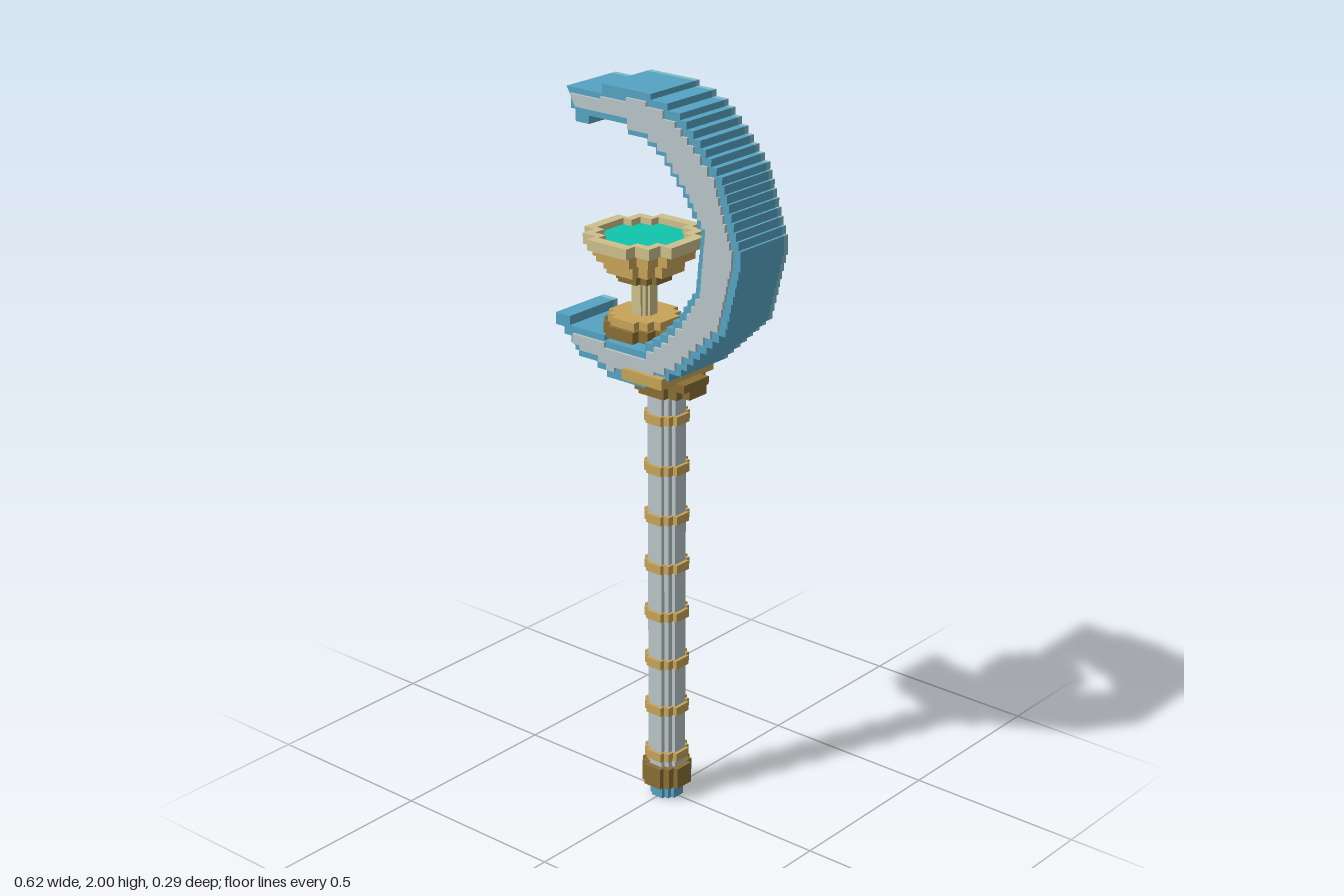
import * as THREE from 'three';

const mat = (name, color, side = THREE.FrontSide) => {
  const m = new THREE.MeshStandardMaterial({ color, side });
  m.name = name;
  return m;
};

export function createModel() {
  const blue = mat('blue', 0x55a4c3);
  const paleBlue = mat('pale blue', 0x80bccb);
  const silver = mat('silver', 0xbac6c8);
  const gold = mat('gold', 0xc8a459);
  const bronze = mat('bronze', 0x8a6e34);
  const sand = mat('sand', 0xcfc08c);
  const teal = mat('teal', 0x10c4ac);

  const model = new THREE.Group();
  const add = (name, geo, material, x = 0, y = 0, z = 0) => {
    const m = new THREE.Mesh(geo, material);
    m.name = name;
    m.position.set(x, y, z);
    model.add(m);
    return m;
  };

  // Stepped round outline, like a circle made of blocks
  const blockCircle = (r, a = 0.45 * r, m = 0.76 * r) => {
    const quarter = [[r, -a], [r, a], [m, a], [m, m], [a, m]];
    const pts = [];
    for (let q = 0; q < 4; q++) {
      const c = Math.round(Math.cos(q * Math.PI / 2)), s = Math.round(Math.sin(q * Math.PI / 2));
      for (const [x, y] of quarter) pts.push(new THREE.Vector2(x * c - y * s, x * s + y * c));
    }
    return pts;
  };
  // Upright disc or ring from y0 to y1
  const disc = (name, r, y0, y1, material, x = 0, z = 0, hole = 0) => {
    const shape = new THREE.Shape(blockCircle(r));
    if (hole) shape.holes.push(new THREE.Path(blockCircle(hole).reverse()));
    const geo = new THREE.ExtrudeGeometry(shape, { depth: y1 - y0, bevelEnabled: false });
    geo.rotateX(-Math.PI / 2);
    return add(name, geo, material, x, y0, z);
  };

  // Turns a path into small stair steps
  const stairs = (pts, dy = 0.0215) => {
    const out = [new THREE.Vector2(...pts[0])];
    for (let i = 1; i < pts.length; i++) {
      const [x0, y0] = pts[i - 1], [x1, y1] = pts[i];
      const n = Math.max(1, Math.round(Math.abs(y1 - y0) / dy));
      for (let k = 1; k <= n; k++) {
        const x = x0 + (x1 - x0) * k / n;
        const ya = y0 + (y1 - y0) * (k - 1) / n, yb = y0 + (y1 - y0) * k / n;
        if (Math.abs(x - x0) > 1e-6) out.push(new THREE.Vector2(x, ya));
        if (Math.abs(yb - ya) > 1e-6) out.push(new THREE.Vector2(x, yb));
      }
    }
    return out;
  };
  const slab = (name, pts, z0, z1, material) => add(name,
    new THREE.ExtrudeGeometry(new THREE.Shape(stairs(pts)), { depth: z1 - z0, bevelEnabled: false }),
    material, 0, 0, z0);

  // Crescent head: blue body with silver faces
  const rim = [
    [-0.26, 1.975], [-0.14, 1.985], [-0.14, 2], [-0.055, 2], [0.02, 1.985], [0.075, 1.967],
    [0.115, 1.95], [0.18, 1.89], [0.25, 1.81], [0.31, 1.63], [0.31, 1.6], [0.265, 1.42],
    [0.12, 1.28], [0.04, 1.235], [0.0, 1.22], [-0.1, 1.22], [-0.165, 1.255], [-0.23, 1.27],
    [-0.255, 1.305], [-0.28, 1.325], [-0.31, 1.345], [-0.31, 1.358], [-0.275, 1.358],
    [-0.26, 1.333], [-0.14, 1.333], [-0.14, 1.318], [-0.06, 1.318], [0, 1.345], [0.05, 1.38],
    [0.115, 1.45], [0.168, 1.53], [0.185, 1.685], [0.125, 1.78], [0.065, 1.85], [0.01, 1.885],
    [-0.055, 1.91], [-0.185, 1.91], [-0.185, 1.888], [-0.23, 1.888], [-0.23, 1.92], [-0.245, 1.95],
  ];
  const face = [
    [-0.243, 1.96], [-0.14, 1.968], [-0.055, 1.98], [0.01, 1.967], [0.065, 1.945], [0.105, 1.93],
    [0.163, 1.875], [0.23, 1.8], [0.287, 1.63], [0.287, 1.6], [0.245, 1.43], [0.105, 1.295],
    [0.035, 1.255], [-0.1, 1.242], [-0.155, 1.275], [-0.22, 1.288], [-0.245, 1.315],
    [-0.14, 1.315], [-0.135, 1.3], [-0.05, 1.3], [0.01, 1.325], [0.06, 1.36], [0.13, 1.435],
    [0.187, 1.525], [0.203, 1.69], [0.14, 1.79], [0.078, 1.863], [0.018, 1.9], [-0.05, 1.928],
    [-0.225, 1.928],
  ];
  slab('crescent', rim, -0.087, 0.086, blue);
  slab('crescentBackRim', rim, -0.103, -0.087, paleBlue);
  slab('crescentFrontFace', face, 0.086, 0.094, silver);
  slab('crescentBackFace', face, -0.11, -0.103, silver);

  // Staff with evenly spaced rings
  disc('staffTip', 0.042, 0, 0.05, blue);
  disc('pommel', 0.063, 0.04, 0.1, bronze);
  disc('staff', 0.047, 0.09, 1.2, silver);
  for (let i = 0; i < 8; i++) {
    const y = 0.132 + i * 0.1414;
    disc('staffRing', 0.056, y - 0.0125, y + 0.0125, gold);
  }
  // Collar that holds the crescent
  disc('collar', 0.095, 1.19, 1.237, bronze, 0, -0.012).scale.z = 0.8;
  add('collarClasp', new THREE.BoxGeometry(0.135, 0.03, 0.21), gold, 0.003, 1.25, 0);
  add('collarWing', new THREE.BoxGeometry(0.18, 0.022, 0.1), bronze, 0.01, 1.228, 0);

  // Goblet standing inside the crescent
  const gx = -0.076;
  disc('gobletFoot', 0.1, 1.335, 1.366, bronze, gx);
  disc('gobletFootTop', 0.088, 1.366, 1.388, gold, gx);
  disc('gobletStem', 0.031, 1.38, 1.49, sand, gx);
  disc('bowlBase', 0.068, 1.483, 1.512, bronze, gx);
  disc('bowlLower', 0.098, 1.51, 1.546, gold, gx);
  disc('bowlUpper', 0.124, 1.546, 1.582, gold, gx);
  disc('bowlRim', 0.147, 1.578, 1.607, sand, gx, 0, 0.117);
  disc('liquid', 0.118, 1.58, 1.59, teal, gx);

  // Gems on the back of the goblet and the pommel
  for (const [x, y, z] of [[gx, 1.525, -0.118], [0, 0.055, -0.066]]) {
    add('gemSetting', new THREE.BoxGeometry(0.034, 0.05, 0.014), gold, x, y, z + 0.004);
    add('gem', new THREE.BoxGeometry(0.026, 0.05, 0.03), teal, x, y + 0.002, z);
    add('gemSides', new THREE.BoxGeometry(0.046, 0.028, 0.024), teal, x, y + 0.002, z);
  }
  return model;
}
